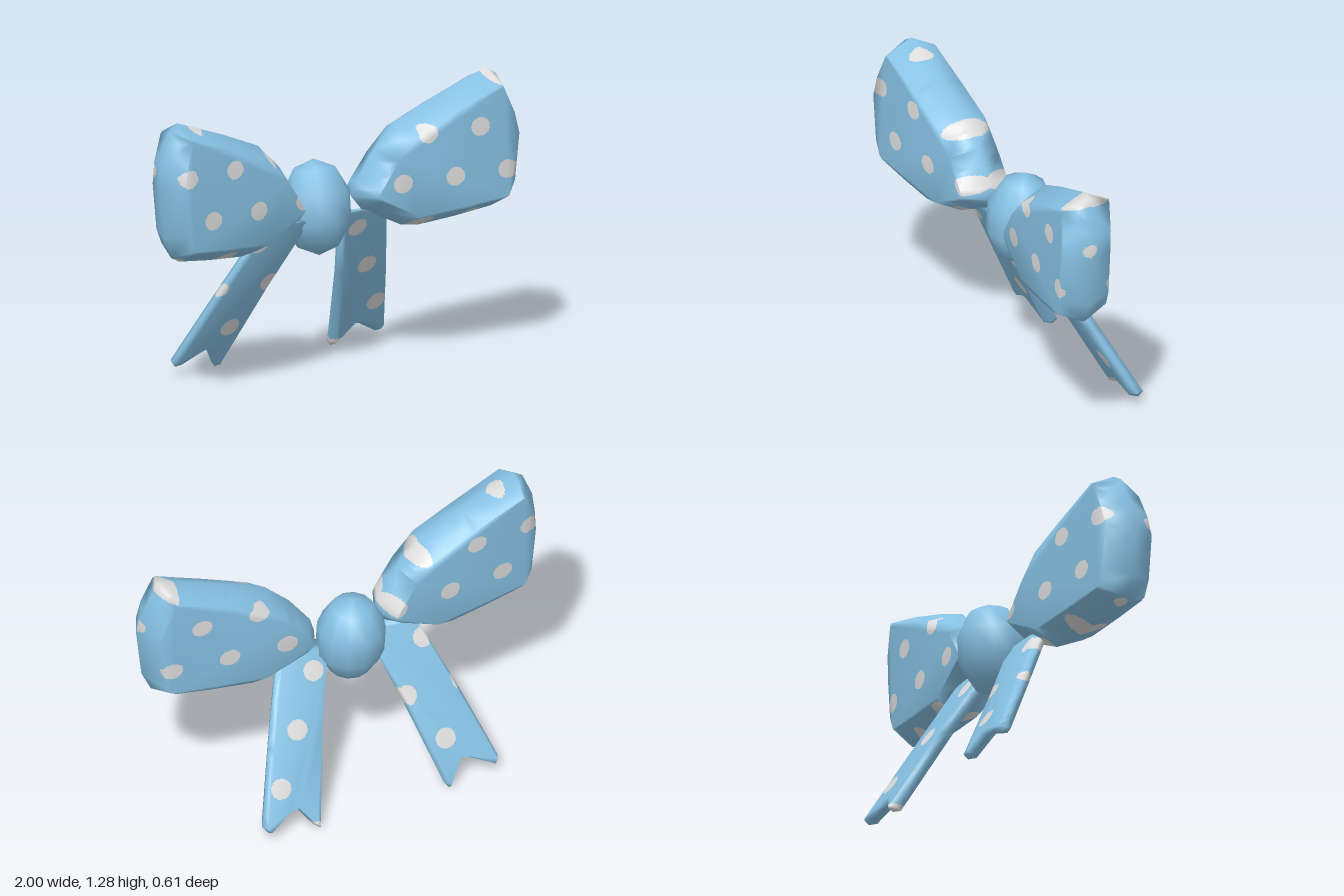
import * as THREE from 'three';

const blue = new THREE.MeshStandardMaterial({ color: 0x86c0e2 });
blue.name = 'ribbon blue';
const white = new THREE.MeshStandardMaterial({ color: 0xdcdcdc });
white.name = 'dot white';

// outlines of the left half, counter-clockwise seen from the front
const LOOP = [[0.15, 0.78], [0.2, 0.72], [0.41, 0.62], [0.5, 0.61], [0.7, 0.627], [0.88, 0.65], [0.93, 0.675],
  [0.975, 0.77], [1.0, 1.0], [0.98, 1.11], [0.92, 1.25], [0.87, 1.28], [0.6, 1.185], [0.39, 1.1], [0.27, 0.985], [0.17, 0.85]];
const TAIL = [[0.09, 0.72], [0.2, 0.39], [0.31, 0.02], [0.325, 0.0], [0.35, 0.02], [0.41, 0.1], [0.45, 0.092],
  [0.565, 0.035], [0.59, 0.065], [0.48, 0.37], [0.34, 0.72]];

// ellipse measure to the nearest dot of a staggered grid: below 1 is inside
function dotMeasure(x, y) {
  let best = Infinity;
  const r0 = Math.round((y - 0.84) / 0.21);
  for (let r = r0 - 1; r <= r0 + 1; r++) {
    const off = r % 2 ? -0.0775 : 0.06;
    const k = Math.round((x - off) / 0.275);
    best = Math.min(best, Math.hypot((x - off - k * 0.275) / 0.049, (y - 0.84 - r * 0.21) / 0.042));
  }
  return best;
}

// moves every outline point inwards along its averaged edge normal
function inset(pts, d) {
  const n = pts.length;
  return pts.map((p, i) => {
    const a = pts[(i + n - 1) % n], b = pts[(i + 1) % n];
    const u = new THREE.Vector2(p[0] - a[0], p[1] - a[1]).normalize();
    const v = new THREE.Vector2(b[0] - p[0], b[1] - p[1]).normalize();
    const t = u.add(v).normalize();
    return [p[0] - t.y * d, p[1] + t.x * d];
  });
}

// pillow with a ridge round its middle: back ring, wide middle ring, front ring
function pillow(outline, side, bevel, half, zAt) {
  const inner = inset(outline, bevel), n = outline.length;
  const pos = [], index = [];
  const tri = (a, b, c) => (side > 0 ? index.push(a, b, c) : index.push(a, c, b));
  [[inner, -half], [outline, 0], [inner, half]].forEach(([ring, dz]) =>
    ring.forEach(([x, y]) => pos.push(x * side, y, zAt(x, y) + dz)));
  for (let r = 0; r < 2; r++) {
    for (let i = 0; i < n; i++) {
      const a = r * n + i, b = r * n + (i + 1) % n;
      tri(a, b, b + n);
      tri(a, b + n, a + n);
    }
  }
  const faces = THREE.ShapeUtils.triangulateShape(inner.map(([x, y]) => new THREE.Vector2(x, y)), []);
  for (const [a, b, c] of faces) {
    tri(2 * n + a, 2 * n + b, 2 * n + c);
    tri(c, b, a);
  }
  const g = new THREE.BufferGeometry();
  g.setAttribute('position', new THREE.Float32BufferAttribute(pos, 3));
  g.setIndex(index);
  g.computeVertexNormals();
  return g;
}

// splits the faces finely along the dot edges and sorts them into two material groups
function spotted(geo) {
  const P = geo.attributes.position, N = geo.attributes.normal, idx = geo.index.array;
  const out = [[], []];
  const corner = i => ({ p: new THREE.Vector3().fromBufferAttribute(P, i), n: new THREE.Vector3().fromBufferAttribute(N, i) });
  const flat = (a, b) => Math.hypot(a.p.x - b.p.x, a.p.y - b.p.y);
  const split = (a, b, c) => {
    const ab = flat(a, b), bc = flat(b, c), ca = flat(c, a), len = Math.max(ab, bc, ca);
    const m = dotMeasure((a.p.x + b.p.x + c.p.x) / 3, (a.p.y + b.p.y + c.p.y) / 3);
    if (len > 0.06 || (len > 0.009 && Math.abs(m - 1) * 0.042 < len)) {
      if (bc === len && ab < len) return split(b, c, a);
      if (ca === len && ab < len) return split(c, a, b);
      const mid = { p: a.p.clone().lerp(b.p, 0.5), n: a.n.clone().lerp(b.n, 0.5) };
      split(a, mid, c);
      split(mid, b, c);
      return;
    }
    out[m < 1 ? 1 : 0].push(a, b, c);
  };
  for (let i = 0; i < idx.length; i += 3) split(corner(idx[i]), corner(idx[i + 1]), corner(idx[i + 2]));
  const all = out[0].concat(out[1]);
  const g = new THREE.BufferGeometry();
  g.setAttribute('position', new THREE.Float32BufferAttribute(all.flatMap(v => v.p.toArray()), 3));
  g.setAttribute('normal', new THREE.Float32BufferAttribute(all.flatMap(v => v.n.clone().normalize().toArray()), 3));
  g.addGroup(0, out[0].length, 0);
  g.addGroup(out[0].length, out[1].length, 1);
  return g;
}

export function createModel() {
  const bow = new THREE.Group();
  bow.name = 'bow';
  const add = (geo, mat, name) => {
    const mesh = new THREE.Mesh(geo, mat);
    mesh.name = name;
    bow.add(mesh);
    return mesh;
  };

  // centre knot, leaning slightly back
  const knot = add(new THREE.SphereGeometry(1, 12, 5), blue, 'knot');
  knot.scale.set(0.163, 0.219, 0.16);
  knot.position.set(0, 0.746, 0.02);
  knot.rotation.x = -0.1;

  for (const side of [1, -1]) {
    const word = side > 0 ? 'left' : 'right';
    // puffed loop, swung forwards at its outer end
    const loopZ = (x, y) => 0.07 + 0.1 * x - 0.1 * Math.max(0, y - 1);
    add(spotted(pillow(LOOP, side, 0.058, 0.12, loopZ)), [blue, white], word + 'Loop');
    // notched tail, trailing backwards
    const tailZ = (x, y) => 0.035 + 0.53 * (y - 0.635);
    add(spotted(pillow(TAIL, side, 0.016, 0.034, tailZ)), [blue, white], word + 'Tail');
  }
  return bow;
}
